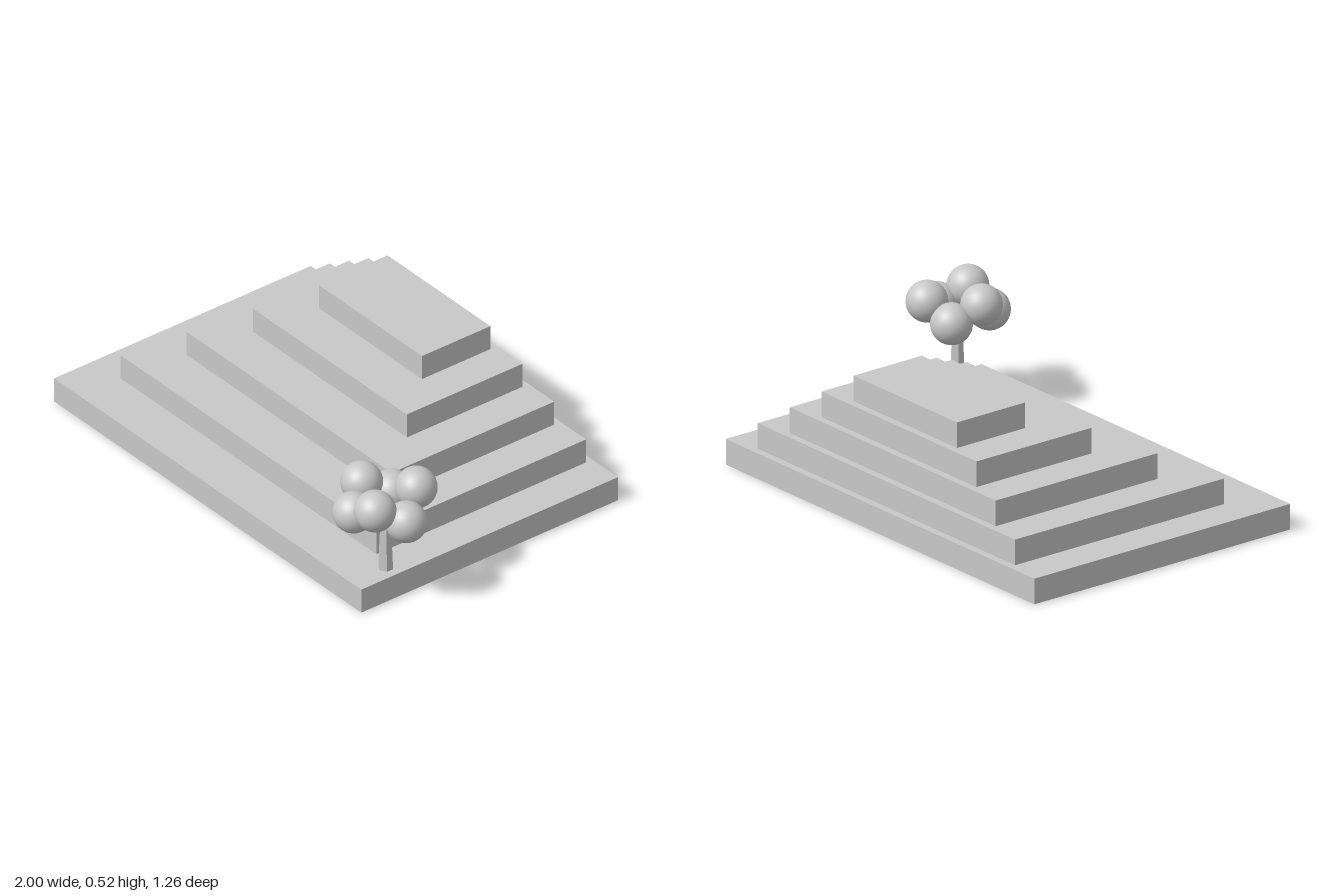
import * as THREE from 'three';

export function createModel() {
  const model = new THREE.Group();
  model.name = 'steppedPyramidWithTree';

  const stone = new THREE.MeshStandardMaterial({ color: 0xc8c8c8 });
  stone.name = 'light grey';

  const add = (parent, name, geometry, x, y, z) => {
    const mesh = new THREE.Mesh(geometry, stone);
    mesh.name = name;
    mesh.position.set(x, y, z);
    parent.add(mesh);
  };

  // Stepped terraces, shrinking upwards and set towards the back
  const STEP = 0.1034;
  const terraces = new THREE.Group();
  terraces.name = 'terraces';
  model.add(terraces);
  for (let i = 0; i < 5; i++) {
    const width = 1.852 - 0.308 * i;
    const back = -0.632 + 0.0305 * i;
    const front = 0.603 - 0.196 * i;
    add(terraces, `terrace${i + 1}`, new THREE.BoxGeometry(width, STEP, front - back),
      -0.075, STEP * (i + 0.5), (front + back) / 2);
  }

  // Tree on the front left corner of the lowest terrace
  const tree = new THREE.Group();
  tree.name = 'tree';
  tree.position.set(0.79, STEP, 0.437);
  model.add(tree);

  // Tapered six-sided trunk
  const trunkHeight = 0.24;
  const trunk = new THREE.CylinderGeometry(0.02, 0.03, trunkHeight, 6).toNonIndexed();
  trunk.computeVertexNormals();
  add(tree, 'trunk', trunk, 0, trunkHeight / 2, 0);

  // Ring of leaf balls, one radian apart, alternately low and high
  const ball = new THREE.SphereGeometry(0.081, 32, 20);
  for (let i = 0; i < 6; i++) {
    add(tree, `leafBall${i + 1}`, ball,
      0.124 * Math.cos(i), i % 2 ? 0.332 : 0.27, 0.124 * Math.sin(i));
  }

  return model;
}
